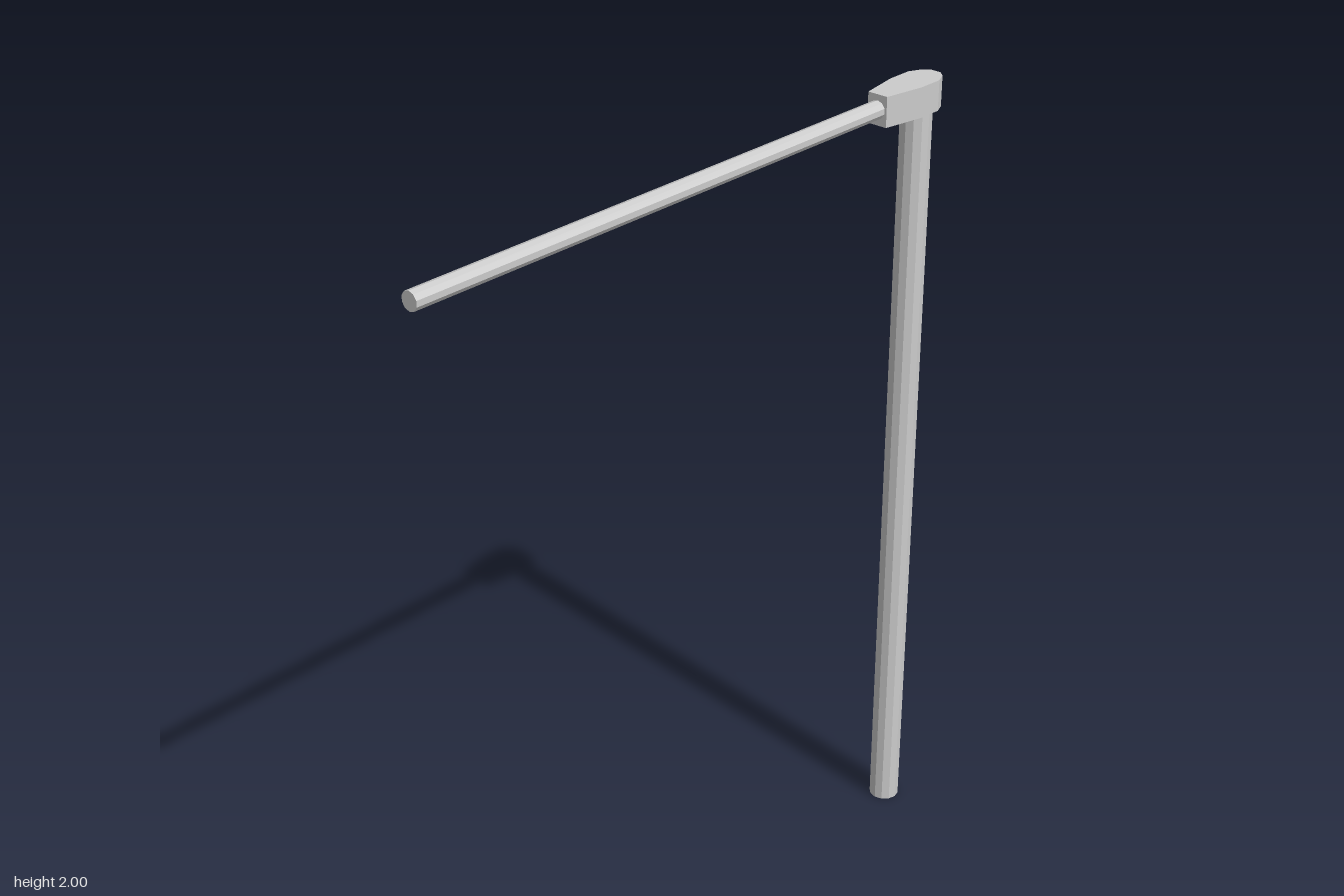
import * as THREE from 'three';

export function createModel() {
  const group = new THREE.Group();
  const grey = new THREE.MeshStandardMaterial({ color: 0xcccccc, flatShading: true });
  const add = (name, geometry) => {
    const mesh = new THREE.Mesh(geometry, grey);
    mesh.name = name;
    group.add(mesh);
  };

  // Upright pole, closed at the foot
  const poleHeight = 1.93;
  add('pole', new THREE.CylinderGeometry(0.038, 0.038, poleHeight, 12)
    .translate(0, poleHeight / 2, -0.743));

  // Slim horizontal arm reaching forward from the bracket
  const armBack = -0.61, armFront = 0.81;
  add('arm', new THREE.CylinderGeometry(0.022, 0.022, armFront - armBack, 10)
    .rotateX(Math.PI / 2)
    .translate(0, 1.964, (armFront + armBack) / 2));

  // Bracket: plan outline tapering to the arm and rounded at the back, [half width, -z]
  const half = [[0.027, 0.597], [0.045, 0.7], [0.045, 0.765], [0.031, 0.795], [0.014, 0.81]];
  const outline = [...half, ...half.map(([x, y]) => [-x, y]).reverse()];
  const plan = new THREE.Shape(outline.map(([x, y]) => new THREE.Vector2(x, y)));
  add('bracket', new THREE.ExtrudeGeometry(plan, { depth: 0.073, bevelEnabled: false })
    .rotateX(-Math.PI / 2)
    .translate(0, 1.927, 0));

  return group;
}
